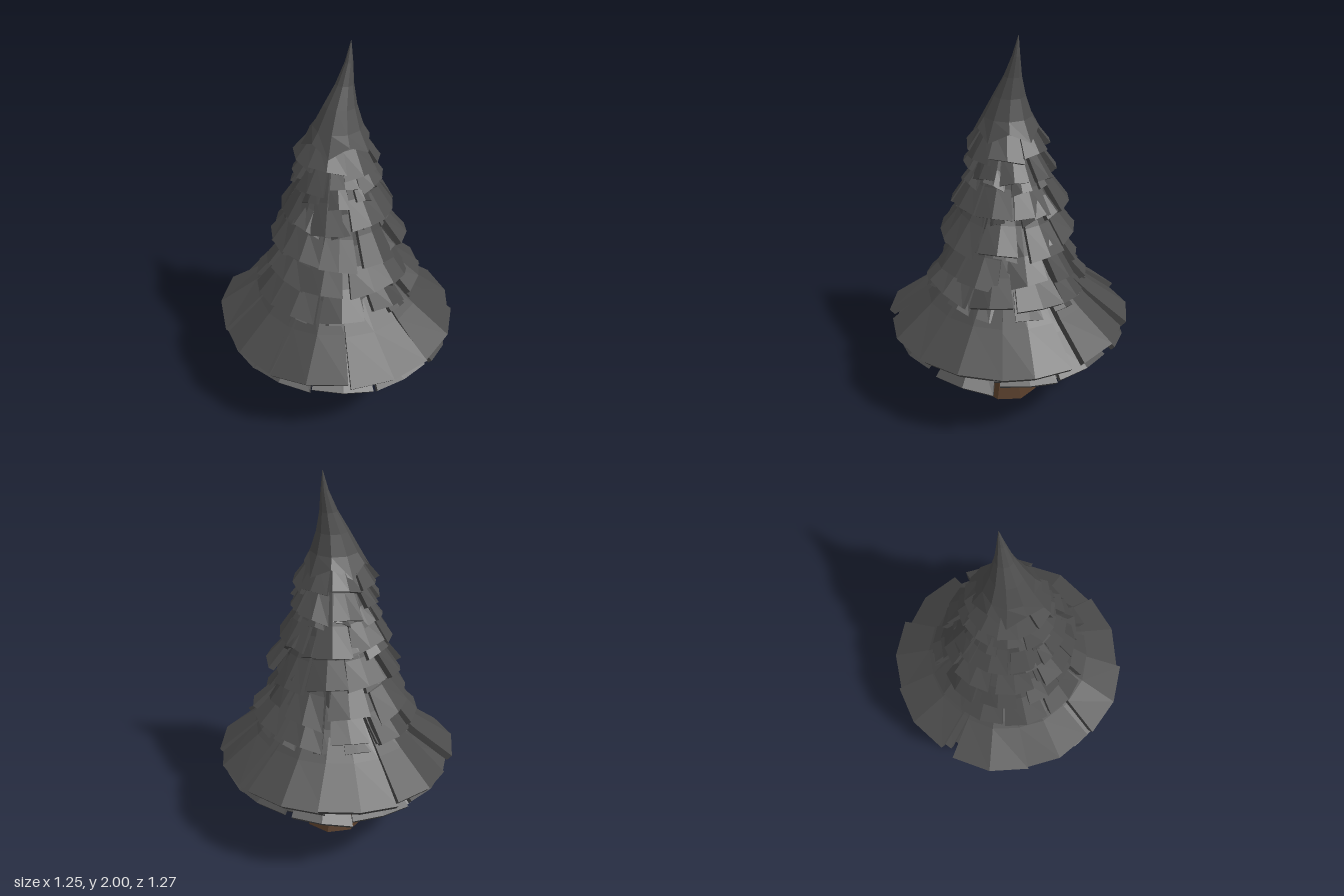
import * as THREE from 'three';

const foliage = new THREE.MeshStandardMaterial({ color: 0x4b4b4b, flatShading: true });
foliage.name = 'charcoal foliage';
const bark = new THREE.MeshStandardMaterial({ color: 0x523926, flatShading: true });
bark.name = 'brown bark';

// Small seeded generator, returns values from -1 to 1
function seeded(seed) {
  let s = seed;
  return () => {
    s = (s * 16807) % 2147483647;
    return (s / 2147483647) * 2 - 1;
  };
}

// Flat shaded geometry from a list of four-cornered faces
function fromQuads(quads) {
  const out = [];
  for (const [a, b, c, d] of quads) {
    for (const p of [a, b, c, a, c, d]) out.push(p.x, p.y, p.z);
  }
  const geo = new THREE.BufferGeometry();
  geo.setAttribute('position', new THREE.Float32BufferAttribute(out, 3));
  geo.computeVertexNormals();
  return geo;
}

// One thick shingle: 3 rows down the slope by 3 columns around the trunk
function shingle({ angle, half, yTop, rTop, yBot, rBot, thick, skew, lean, taper }) {
  const slope = new THREE.Vector2(yTop - yBot, rBot - rTop).normalize();
  const outer = [], inner = [];
  for (let i = 0; i < 3; i++) {
    const t = i / 2;
    const sag = i === 1 ? 0.008 : 0;
    const r = THREE.MathUtils.lerp(rTop, rBot, t) - sag;
    const y = THREE.MathUtils.lerp(yTop, yBot, t) - sag;
    const w = half * THREE.MathUtils.lerp(taper, 1, t);
    outer.push([]);
    inner.push([]);
    for (let j = -1; j <= 1; j++) {
      const a = angle + j * w + lean * t;
      const rr = r * (j === 0 ? 1 : 0.985) + j * skew * t * 0.4;
      const yy = y + j * skew * t + (j === 0 ? 0.01 * t : 0);
      const at = (rad, h) => new THREE.Vector3(Math.sin(a) * rad, h, Math.cos(a) * rad);
      outer[i].push(at(rr, yy));
      inner[i].push(at(Math.max(0.005, rr - slope.x * thick), yy - slope.y * thick));
    }
  }
  const q = [];
  for (let i = 0; i < 2; i++) {
    for (let j = 0; j < 2; j++) {
      q.push([outer[i][j], outer[i + 1][j], outer[i + 1][j + 1], outer[i][j + 1]]);
      q.push([inner[i][j], inner[i][j + 1], inner[i + 1][j + 1], inner[i + 1][j]]);
    }
    q.push([outer[i][0], inner[i][0], inner[i + 1][0], outer[i + 1][0]]);
    q.push([outer[i][2], outer[i + 1][2], inner[i + 1][2], inner[i][2]]);
  }
  for (let j = 0; j < 2; j++) {
    q.push([outer[2][j], inner[2][j], inner[2][j + 1], outer[2][j + 1]]);
    q.push([outer[0][j], outer[0][j + 1], inner[0][j + 1], inner[0][j]]);
  }
  return fromQuads(q);
}

// A full ring of slightly irregular shingles
function tier(spec, seed) {
  const rnd = seeded(seed);
  for (let k = 0; k < 5; k++) rnd();
  const g = new THREE.Group();
  g.name = spec.name;
  const step = (Math.PI * 2) / spec.n;
  for (let k = 0; k < spec.n; k++) {
    const mesh = new THREE.Mesh(shingle({
      angle: (k + spec.phase) * step + rnd() * step * 0.06,
      half: step * (spec.fill + rnd() * 0.08) / 2,
      yTop: spec.top[1],
      rTop: spec.top[0],
      yBot: spec.bottom[1] + rnd() * spec.jitter,
      rBot: spec.bottom[0] + rnd() * spec.jitter * 0.5,
      thick: spec.thick,
      skew: rnd() * spec.jitter,
      lean: rnd() * step * 0.08,
      taper: spec.taper ?? 0.95,
    }), foliage);
    mesh.name = 'shingle';
    g.add(mesh);
  }
  return g;
}

export function createModel() {
  const model = new THREE.Group();
  model.name = 'tree';

  // Eight-sided trunk with a flared foot
  const trunkProfile = [[0, 0], [0.166, 0], [0.113, 0.15], [0.09, 0.38], [0.075, 0.75], [0, 0.75]]
    .map(([r, y]) => new THREE.Vector2(r, y));
  const trunk = new THREE.Mesh(new THREE.LatheGeometry(trunkProfile, 8, -0.08), bark);
  trunk.name = 'trunk';
  trunk.position.set(0.007, 0, 0.003);
  model.add(trunk);

  // Solid heart that closes the gaps between the shingles
  const coreProfile = [[0.06, 0.72], [0.31, 0.63], [0.25, 0.85], [0.2, 1.1], [0.13, 1.4], [0.06, 1.62]]
    .map(([r, y]) => new THREE.Vector2(r, y));
  const core = new THREE.Mesh(new THREE.LatheGeometry(coreProfile, 10), foliage);
  core.name = 'core';
  model.add(core);

  // Shingle rings from the skirt up; corners are [radius, height]
  const tiers = [
    { name: 'skirtLining', n: 14, phase: 0.2, fill: 0.66, top: [0.25, 0.65], bottom: [0.53, 0.375], thick: 0.026, jitter: 0.02 },
    { name: 'underSkirt', n: 11, phase: 0.5, fill: 0.88, top: [0.25, 0.71], bottom: [0.605, 0.405], thick: 0.03, jitter: 0.025 },
    { name: 'skirt', n: 9, phase: 0, fill: 0.97, top: [0.25, 0.81], bottom: [0.625, 0.48], thick: 0.04, jitter: 0.028 },
    { name: 'lowerInner', n: 13, phase: 0.3, fill: 0.74, top: [0.24, 0.87], bottom: [0.405, 0.67], thick: 0.03, jitter: 0.025 },
    { name: 'lowerOuter', n: 10, phase: 0.5, fill: 0.88, top: [0.22, 0.98], bottom: [0.425, 0.715], thick: 0.036, jitter: 0.035 },
    { name: 'waist', n: 9, phase: 0.05, fill: 0.84, top: [0.2, 1.09], bottom: [0.37, 0.825], thick: 0.034, jitter: 0.03 },
    { name: 'middleInner', n: 11, phase: 0.1, fill: 0.7, top: [0.2, 1.15], bottom: [0.305, 0.96], thick: 0.028, jitter: 0.03 },
    { name: 'middleOuter', n: 9, phase: 0.45, fill: 0.88, top: [0.175, 1.25], bottom: [0.345, 0.98], thick: 0.033, jitter: 0.025 },
    { name: 'upperInner', n: 10, phase: 0.5, fill: 0.7, top: [0.16, 1.32], bottom: [0.28, 1.13], thick: 0.026, jitter: 0.03 },
    { name: 'upperOuter', n: 8, phase: 0, fill: 0.86, top: [0.135, 1.43], bottom: [0.295, 1.155], thick: 0.03, jitter: 0.025 },
    { name: 'collarInner', n: 10, phase: 0.4, fill: 0.7, top: [0.13, 1.45], bottom: [0.23, 1.28], thick: 0.024, jitter: 0.025 },
    { name: 'collarOuter', n: 8, phase: 0.5, fill: 0.88, top: [0.1, 1.56], bottom: [0.235, 1.335], thick: 0.028, jitter: 0.025 },
    { name: 'capFringe', n: 7, phase: 0, fill: 0.98, top: [0.08, 1.66], bottom: [0.215, 1.425], thick: 0.028, jitter: 0.025, taper: 1.02 },
  ];
  tiers.forEach((t, i) => model.add(tier(t, 1237 + i * 7919)));

  // Pointed cap, bent toward its tip; rings are [x, y, z, radius]
  const rings = [
    [0.05, 2, -0.06, 0.001], [0.043, 1.9, -0.047, 0.02], [0.028, 1.8, -0.028, 0.044],
    [0.012, 1.7, -0.008, 0.08], [0.003, 1.6, 0.004, 0.122], [0, 1.5, 0.005, 0.175],
  ];
  const sides = 10;
  const point = ([x, y, z, r], k, last) => {
    const a = ((k % sides) / sides) * Math.PI * 2;
    const jag = last && k % 2 ? 0.05 : 0;
    return new THREE.Vector3(x + Math.sin(a) * (r - jag * 0.4), y + jag, z + Math.cos(a) * (r - jag * 0.4));
  };
  const quads = [];
  for (let i = 0; i < rings.length - 1; i++) {
    const last = i === rings.length - 2;
    for (let k = 0; k < sides; k++) {
      quads.push([point(rings[i], k), point(rings[i + 1], k, last), point(rings[i + 1], k + 1, last), point(rings[i], k + 1)]);
    }
  }
  const cap = new THREE.Mesh(fromQuads(quads), foliage);
  cap.name = 'cap';
  model.add(cap);

  return model;
}
